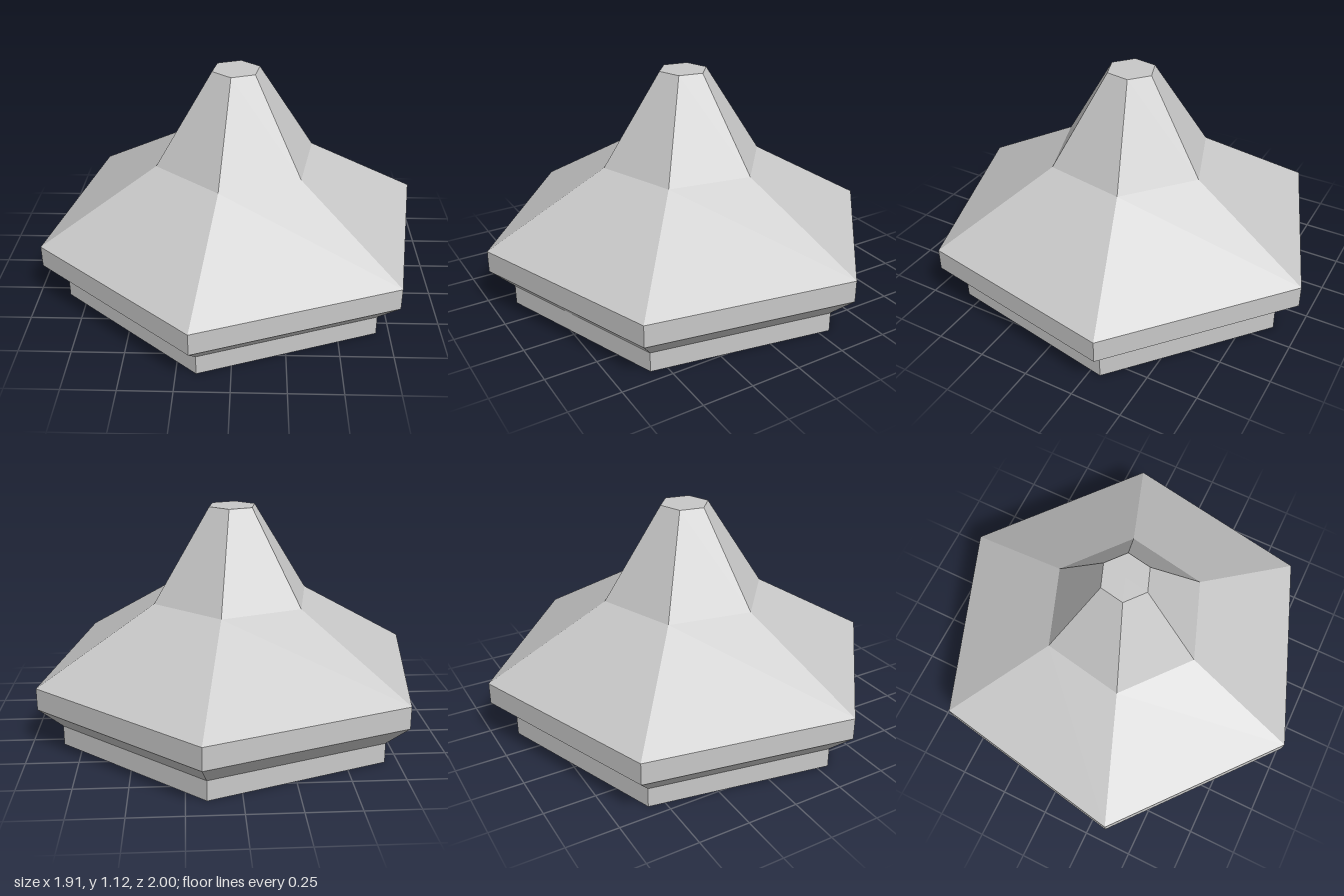
import * as THREE from 'three';

export function createModel() {
  const group = new THREE.Group();
  group.name = 'hexagonalRoof';

  const stone = new THREE.MeshStandardMaterial({ color: 0xc8c8c8, flatShading: true });
  stone.name = 'grey';

  const SIDES = 6;
  const TWIST = THREE.MathUtils.degToRad(-10.1);

  // Six-sided ring from [radius, height] points, listed bottom to top
  function addPart(name, profile) {
    const points = profile.map(([r, y]) => new THREE.Vector2(r, y));
    const geometry = new THREE.LatheGeometry(points, SIDES, TWIST);
    const mesh = new THREE.Mesh(geometry, stone);
    mesh.name = name;
    group.add(mesh);
  }

  // Plinth with closed underside
  addPart('plinth', [[0, 0], [0.898, 0], [0.898, 0.098]]);
  // Slope flaring out under the eaves
  addPart('eavesUnderside', [[0.898, 0.098], [1.016, 0.205]]);
  // Upright edge band
  addPart('eavesBand', [[1.016, 0.205], [1.016, 0.314]]);
  // Shallow lower roof
  addPart('lowerRoof', [[1.016, 0.314], [0.416, 0.665]]);
  // Steep upper roof with flat top
  addPart('upperRoof', [[0.416, 0.665], [0.122, 1.125], [0, 1.125]]);

  return group;
}
